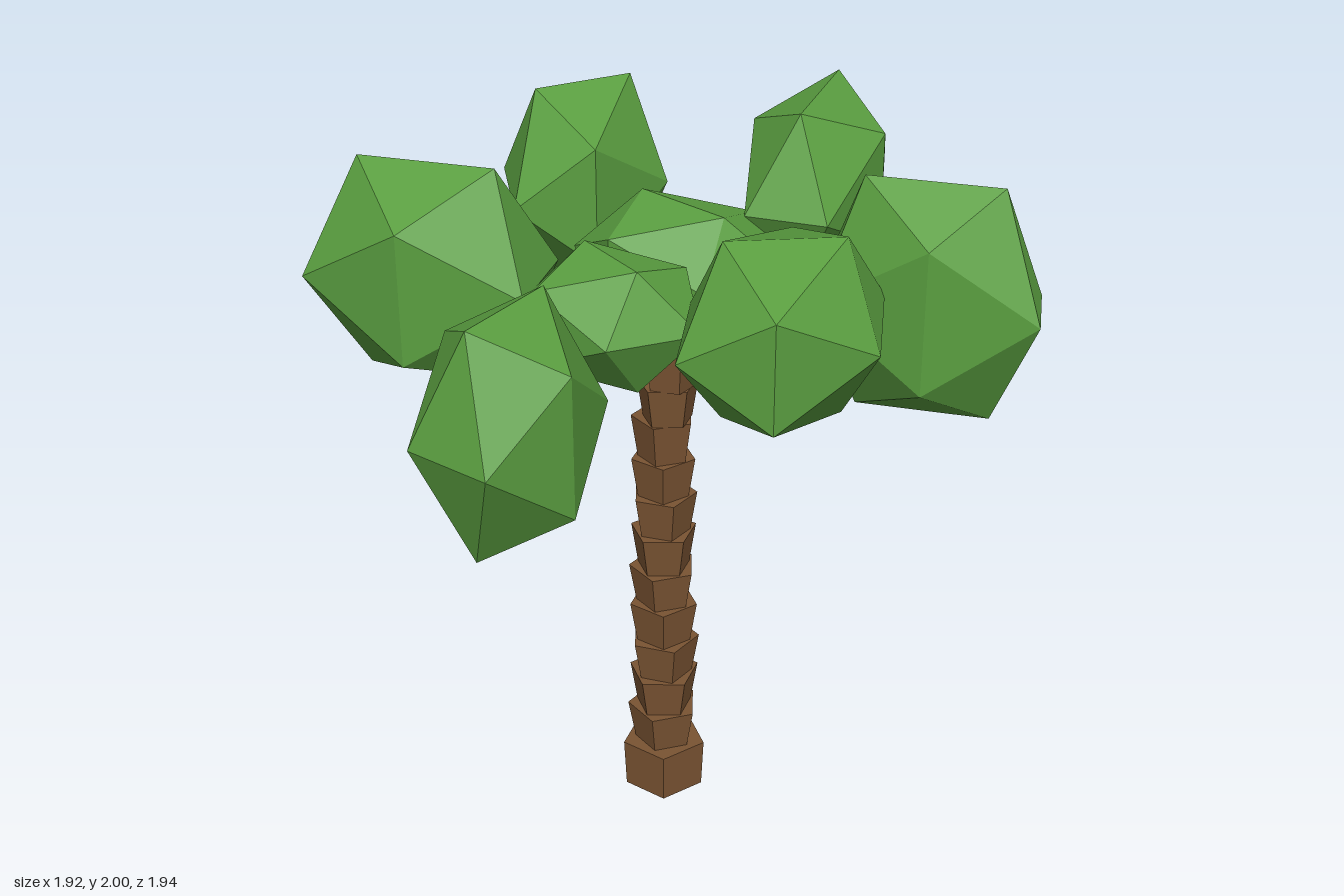
import * as THREE from 'three';

const leafMaterial = new THREE.MeshStandardMaterial({ color: 0x5a9e40, flatShading: true });
const barkMaterial = new THREE.MeshStandardMaterial({ color: 0x7a5433, flatShading: true });

// Foliage clump: an icosahedron stretched along two ground axes and upwards.
// center [x, y, z], halfHeight, axisX and axisZ as [x, z] half extents.
function foliageClump(name, center, halfHeight, axisX, axisZ) {
  const unitExtent = 1.1756; // radius at which the icosahedron spans -1..1
  const geometry = new THREE.IcosahedronGeometry(unitExtent, 0);
  const matrix = new THREE.Matrix4().makeBasis(
    new THREE.Vector3(axisX[0], 0, axisX[1]),
    new THREE.Vector3(0, halfHeight, 0),
    new THREE.Vector3(axisZ[0], 0, axisZ[1])
  );
  geometry.applyMatrix4(matrix);
  const mesh = new THREE.Mesh(geometry, leafMaterial);
  mesh.position.set(...center);
  mesh.name = name;
  return mesh;
}

// Trunk: stacked five-sided segments, each flaring upwards and turned a little
function createTrunk() {
  const trunk = new THREE.Group();
  trunk.name = 'trunk';
  const levels = [0, 0.15, 0.27, 0.39, 0.51, 0.635, 0.75, 0.87, 0.99, 1.11, 1.235, 1.35, 1.5];
  for (let i = 0; i < levels.length - 1; i++) {
    const t = i / (levels.length - 2);
    const height = levels[i + 1] - levels[i];
    const top = i === 0 ? 0.125 : 0.108 - 0.02 * t;
    const bottom = i === 0 ? 0.118 : top * 0.8;
    const segment = new THREE.Mesh(new THREE.CylinderGeometry(top, bottom, height, 5), barkMaterial);
    const bend = Math.max(0, t - 0.8) * 0.17;
    segment.position.set(-0.052 + bend, levels[i] + height / 2, -0.066 + bend);
    segment.rotation.y = i * 2.2 + 0.3;
    segment.name = 'trunkSegment' + (i + 1);
    trunk.add(segment);
  }
  return trunk;
}

export function createModel() {
  const tree = new THREE.Group();
  tree.name = 'palmTree';
  tree.add(createTrunk());

  const crown = new THREE.Group();
  crown.name = 'crown';
  crown.add(
    // Outer ring
    foliageClump('rightClump', [-0.65, 1.66, 0.095], 0.3, [0.31, -0.01], [0.01, 0.235]),
    foliageClump('backRightClump', [-0.465, 1.69, -0.605], 0.283, [0.17, -0.172], [0.122, 0.245]),
    foliageClump('backLeftClump', [0.22, 1.737, -0.645], 0.263, [-0.006, 0.322], [-0.19, -0.005]),
    foliageClump('leftClump', [0.65, 1.645, -0.143], 0.325, [0.293, -0.011], [0.025, 0.17]),
    foliageClump('frontLeftClump', [0.367, 1.7, 0.26], 0.238, [0.229, -0.097], [0.059, 0.293]),
    foliageClump('frontRightClump', [-0.198, 1.55, 0.68], 0.31, [-0.065, 0.241], [-0.19, -0.072]),
    // Smaller clumps around the trunk top
    foliageClump('innerBackClump', [-0.06, 1.61, -0.265], 0.17, [0.222, 0.109], [-0.16, 0.158]),
    foliageClump('innerFrontClump', [-0.103, 1.643, 0.205], 0.167, [0.156, 0.124], [-0.16, 0.132])
  );
  tree.add(crown);
  return tree;
}
